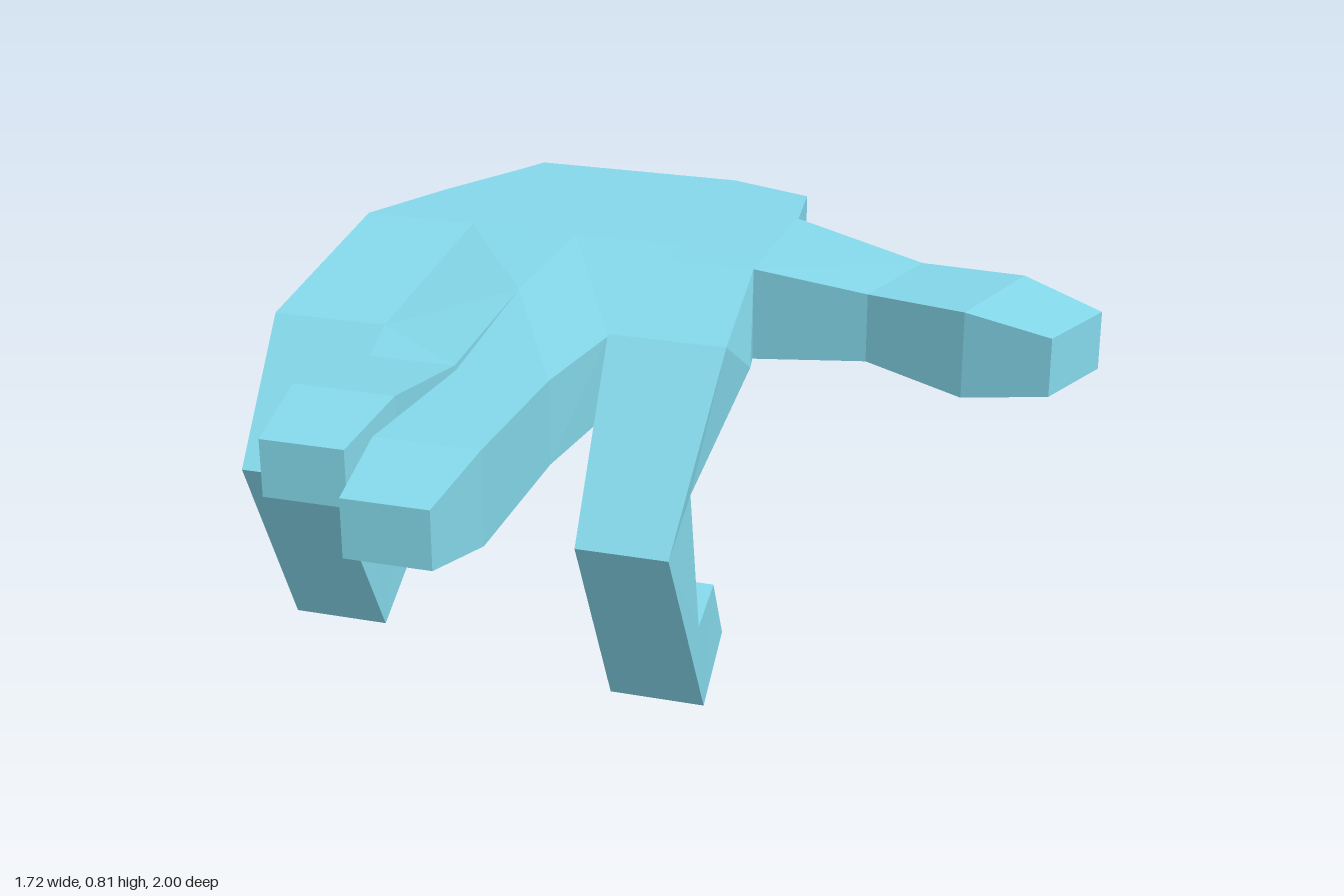
import * as THREE from 'three';

// Four-cornered section across x: top and bottom edges are [y, z] or [yLeft, zLeft, yRight, zRight]
function section(xl, xr, top, bot) {
  const [ty, tz, ty2 = ty, tz2 = tz] = top;
  const [by, bz, by2 = by, bz2 = bz] = bot;
  return [[xl, ty, tz], [xr, ty2, tz2], [xr, by2, bz2], [xl, by, bz]];
}

// Section across a part that runs sideways along +x (front corner, back corner, heights)
function sideSection(front, back, yt, yb) {
  return [[front[0], yt, front[1]], [back[0], yt, back[1]], [back[0], yb, back[1]], [front[0], yb, front[1]]];
}

// Skin a row of four-cornered sections and close both ends
function loft(name, sections, material) {
  const pos = [];
  const quad = (a, b, c, d) => pos.push(...a, ...b, ...c, ...a, ...c, ...d);
  for (let k = 0; k < sections.length - 1; k++) {
    const a = sections[k], b = sections[k + 1];
    for (let i = 0; i < 4; i++) {
      const j = (i + 1) % 4;
      quad(a[i], b[i], b[j], a[j]);
    }
  }
  const s = sections[0], e = sections[sections.length - 1];
  quad(s[0], s[1], s[2], s[3]);
  quad(e[3], e[2], e[1], e[0]);
  const geo = new THREE.BufferGeometry();
  geo.setAttribute('position', new THREE.Float32BufferAttribute(pos, 3));
  geo.computeVertexNormals();
  const mesh = new THREE.Mesh(geo, material);
  mesh.name = name;
  return mesh;
}

export function createModel() {
  const group = new THREE.Group();
  group.name = 'hand';
  const skin = new THREE.MeshStandardMaterial({ color: 0x84d8ea, flatShading: true });
  const add = (name, sections) => group.add(loft(name, sections, skin));
  const TOP = 0.815, BOT = 0.605;
  const knuckleRow = (xl, xr, z = -0.4) => section(xl, xr, [TOP, z], [BOT, z]);

  // Palm, from the wrist to the start of the finger columns
  add('palm', [
    section(-0.645, -0.145, [0.78, -1], [0.645, -1]),
    section(-0.675, 0.06, [0.785, -0.915], [0.638, -0.915]),
    section(-0.775, 0.1, [0.8, -0.66], [0.62, -0.66]),
    knuckleRow(-0.86, 0.1),
  ]);

  // Curled little finger
  add('littleFinger', [
    knuckleRow(-0.86, -0.6),
    section(-0.86, -0.605, [0.75, 0.11], [0.64, -0.07]),
    section(-0.835, -0.635, [0.49, 0.365], [0.56, 0.22]),
    section(-0.84, -0.625, [0.045, 0.14], [0.25, 0.18]),
    section(-0.825, -0.64, [0.12, -0.05], [0.27, 0.01]),
  ]);

  // Straight ring finger, dipping just past the knuckle
  add('ringFinger', [
    knuckleRow(-0.6, -0.35),
    section(-0.605, -0.35, [0.75, 0.11, 0.81, -0.03], [0.61, 0.05, 0.61, -0.03]),
    section(-0.575, -0.385, [0.74, 0.26], [0.61, 0.26]),
    section(-0.585, -0.37, [0.808, 0.6], [0.615, 0.6]),
    section(-0.565, -0.39, [0.775, 0.8], [0.655, 0.8]),
  ]);

  // Straight middle finger
  add('middleFinger', [
    knuckleRow(-0.35, -0.1),
    section(-0.35, -0.095, [0.81, -0.03, 0.79, 0.13], [0.61, -0.03, 0.61, 0.05]),
    section(-0.315, -0.12, [0.8, 0.42], [0.62, 0.42]),
    section(-0.33, -0.115, [0.81, 0.8], [0.615, 0.8]),
    section(-0.31, -0.135, [0.775, 1], [0.655, 1]),
  ]);

  // Curled index finger
  add('indexFinger', [
    knuckleRow(-0.1, 0.1),
    knuckleRow(-0.1, 0.1, -0.29),
    section(-0.095, 0.16, [0.795, 0.13], [0.68, -0.055]),
    section(-0.065, 0.133, [0.45, 0.44], [0.53, 0.29]),
    section(-0.07, 0.14, [0, 0.21], [0.21, 0.25]),
    section(-0.055, 0.125, [0.08, 0.02], [0.23, 0.09]),
  ]);

  // Thumb, spread sideways
  add('thumb', [
    sideSection([0.1, -0.29], [0.1, -0.66], TOP, BOT),
    sideSection([0.36, -0.275], [0.43, -0.51], 0.79, 0.635),
    sideSection([0.59, -0.18], [0.67, -0.445], 0.808, 0.615),
    sideSection([0.78, -0.155], [0.855, -0.345], 0.78, 0.65),
  ]);

  return group;
}
